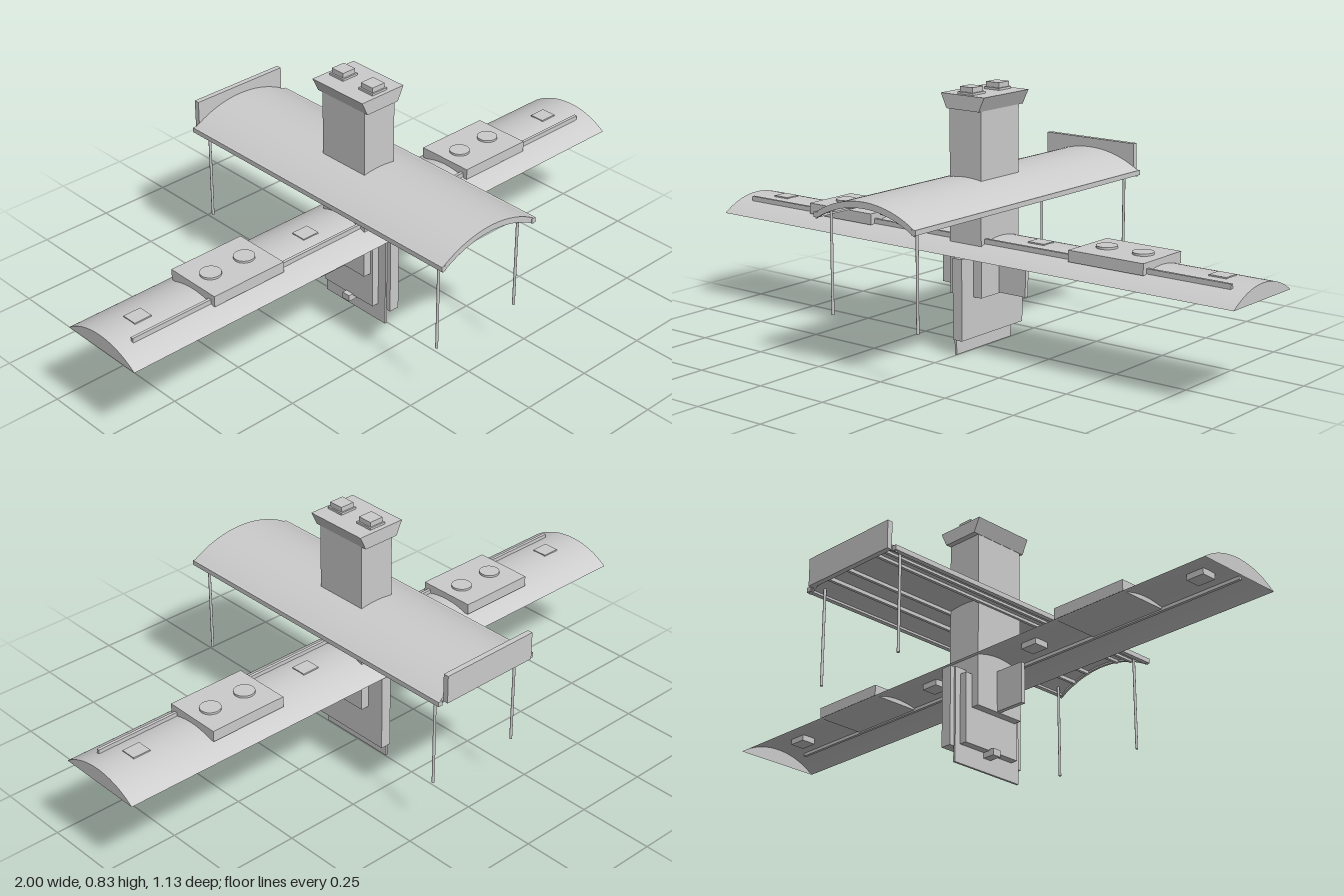
import * as THREE from 'three';

const grey = new THREE.MeshStandardMaterial({ color: 0xcccccc, side: THREE.DoubleSide });

export function createModel() {
  const root = new THREE.Group();

  const add = (name, geometry) => {
    const mesh = new THREE.Mesh(geometry, grey);
    mesh.name = name;
    root.add(mesh);
    return mesh;
  };
  // Box given by its limits on each axis
  const box = (name, x0, x1, y0, y1, z0, z1) => {
    const g = new THREE.BoxGeometry(x1 - x0, y1 - y0, z1 - z0);
    g.translate((x0 + x1) / 2, (y0 + y1) / 2, (z0 + z1) / 2);
    return add(name, g);
  };
  // Height of a circular arch with given half width and rise
  const arch = (t, half, rise) => {
    const r = (half * half + rise * rise) / (2 * rise);
    return Math.sqrt(r * r - t * t) - (r - rise);
  };
  // Arched sheet, width along x and length along z
  const archSheet = (half, rise, length) => {
    const g = new THREE.PlaneGeometry(half * 2, length, 32, 1);
    g.rotateX(-Math.PI / 2);
    const p = g.attributes.position;
    for (let i = 0; i < p.count; i++) p.setY(i, arch(p.getX(i), half, rise));
    g.computeVertexNormals();
    return g;
  };
  const archShape = (half, rise) => {
    const s = new THREE.Shape();
    s.moveTo(-half, 0);
    for (let i = 1; i <= 32; i++) {
      const x = -half + (2 * half * i) / 32;
      s.lineTo(x, arch(x, half, rise));
    }
    return s;
  };

  // Wing: arched skin open below, closed at the tips
  const wing = archSheet(0.153, 0.05, 2);
  wing.rotateY(Math.PI / 2);
  wing.translate(0, 0.315, 0.003);
  add('wingSkin', wing);
  for (const s of [-1, 1]) {
    const tip = new THREE.ShapeGeometry(archShape(0.153, 0.05));
    tip.rotateY(s * Math.PI / 2);
    tip.translate(s, 0.315, 0.003);
    add('wingTip', tip);
  }
  box('wingRail', -0.945, 0.945, 0.345, 0.368, 0.073, 0.083);

  // Fittings on each wing half
  for (const s of [-1, 1]) {
    const cx = s * 0.526;
    box('wingBox', cx - 0.134, cx + 0.134, 0.35, 0.386, -0.098, 0.1);
    for (const dx of [-0.065, 0.065]) {
      const disc = new THREE.CylinderGeometry(0.033, 0.033, 0.008, 32);
      disc.translate(cx + dx, 0.389, 0);
      add('wingDisc', disc);
    }
    for (const x of [0.217, 0.865])
      box('wingBlock', s * x - 0.03, s * x + 0.03, 0.345, 0.368, -0.025, 0.027);
  }

  // Tower with a cap that flares sideways
  box('tower', -0.062, 0.062, 0.182, 0.768, -0.085, 0.1);
  const cap = new THREE.BoxGeometry(0.17, 0.046, 0.218);
  const cp = cap.attributes.position;
  for (let i = 0; i < cp.count; i++) if (cp.getY(i) < 0) cp.setX(i, cp.getX(i) * 0.74);
  cap.computeVertexNormals();
  cap.translate(0, 0.788, 0.005);
  add('towerCap', cap);
  for (const z of [-0.058, 0.07]) {
    box('capBlockBase', -0.03, 0.03, 0.808, 0.818, z - 0.03, z + 0.03);
    box('capBlock', -0.025, 0.025, 0.815, 0.834, z - 0.025, z + 0.025);
  }
  box('crossPanel', -0.165, 0.165, 0.184, 0.318, -0.003, 0.012);

  // Fin below the wing
  box('fin', -0.004, 0.032, 0.052, 0.312, -0.146, 0.158);
  box('finBlade', -0.01, -0.002, 0, 0.312, -0.13, 0.142);
  box('finSidePlate', -0.035, -0.008, 0.062, 0.292, -0.11, 0.11);
  box('finFoot', -0.052, -0.008, 0.044, 0.066, -0.01, 0.02);

  // Canopy: arched roof with inner skin, end edges, rails and stringers
  const length = 1.115;
  for (const drop of [0, 0.014]) {
    const skin = archSheet(0.192, 0.056, length);
    skin.translate(0, 0.5 - drop, 0.006);
    add(drop ? 'canopyLining' : 'canopySkin', skin);
  }
  for (const z of [-0.551, 0.556]) {
    const s = archShape(0.192, 0.056);
    for (let i = 32; i >= 0; i--) {
      const x = -0.192 + (0.384 * i) / 32;
      s.lineTo(x, arch(x, 0.192, 0.056) - 0.02);
    }
    const rib = new THREE.ExtrudeGeometry(s, { depth: 0.008, bevelEnabled: false });
    rib.translate(0, 0.5, z);
    add('canopyRib', rib);
  }
  for (const s of [-1, 1]) {
    box('canopyRail', s * 0.19 - 0.008, s * 0.19 + 0.008, 0.485, 0.501, -0.555, 0.565);
    for (const x of [0.065, 0.125]) {
      const y = 0.482 + arch(x, 0.192, 0.056);
      box('canopyStringer', s * x - 0.005, s * x + 0.005, y - 0.006, y + 0.006, -0.55, 0.56);
    }
    // Corner posts
    for (const z of [-0.51, 0.522]) {
      const post = new THREE.CylinderGeometry(0.0045, 0.0045, 0.33, 12);
      post.translate(s * 0.167, 0.347, z);
      add('post', post);
    }
  }
  box('backPanel', -0.175, 0.175, 0.494, 0.586, -0.568, -0.55);

  return root;
}
